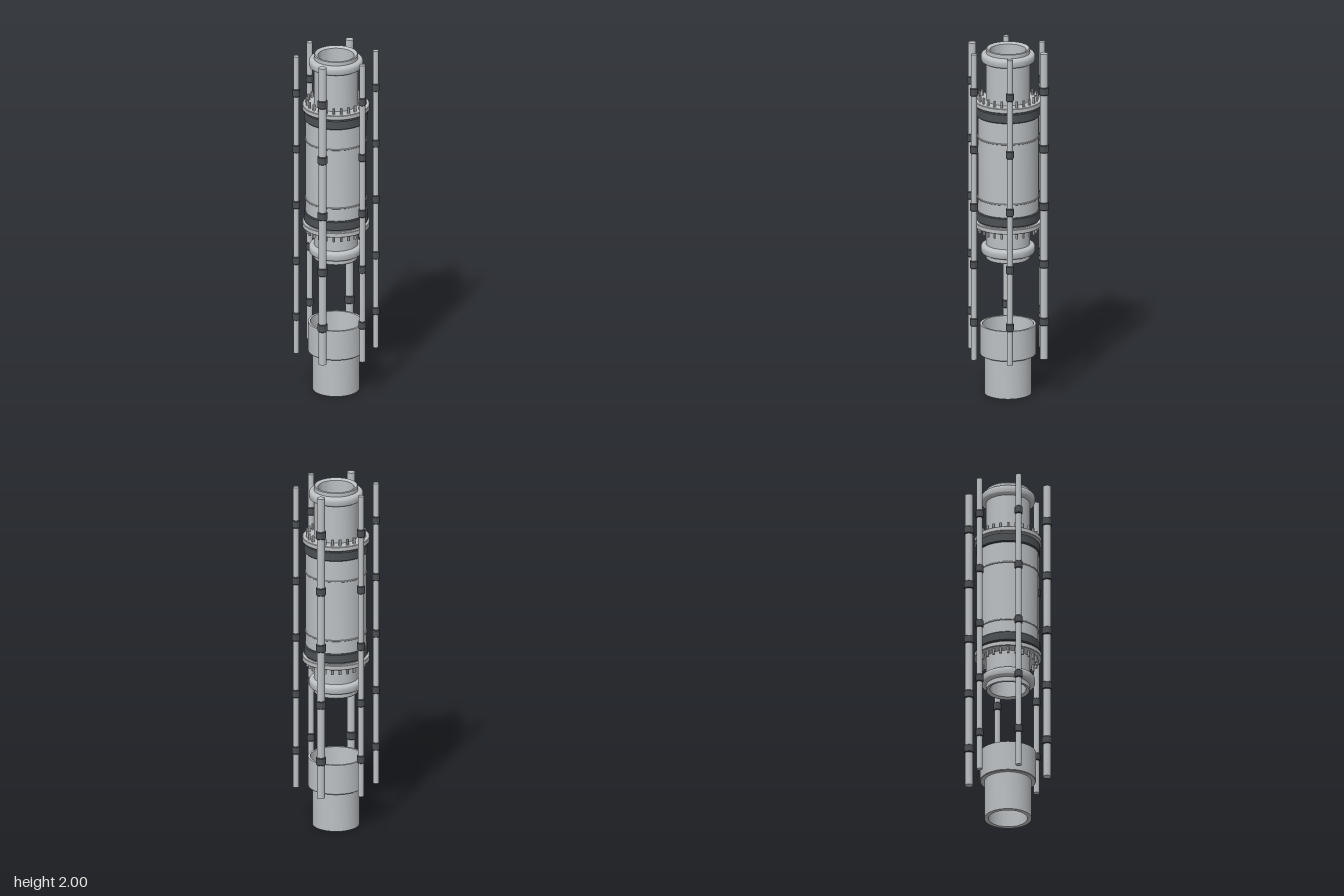
import * as THREE from 'three';
import { toCreasedNormals } from 'three/addons/utils/BufferGeometryUtils.js';

const steel = new THREE.MeshStandardMaterial({ color: 0xbcc0c3 });
steel.name = 'light steel';
const rubber = new THREE.MeshStandardMaterial({ color: 0x4c5054 });
rubber.name = 'dark rubber';

// Revolve a closed profile of [radius, y] points: up the outside, down the inside
function turned(name, profile, material = steel, segments = 64) {
  const pts = [...profile, profile[0]].map(([r, y]) => new THREE.Vector2(r, y));
  const geo = toCreasedNormals(new THREE.LatheGeometry(pts, segments), 0.6);
  const mesh = new THREE.Mesh(geo, material);
  mesh.name = name;
  return mesh;
}

// Plain ring with small chamfers on the outer edges
function ring(name, inner, outer, y0, y1, material = steel, c = 0.003, segments = 64) {
  return turned(name, [
    [inner, y0], [outer - c, y0], [outer, y0 + c],
    [outer, y1 - c], [outer - c, y1], [inner, y1],
  ], material, segments);
}

// Coupling ring with rounded outer edges
function roundedRing(name, inner, outer, y0, y1) {
  const c = 0.018, profile = [[inner, y0]];
  for (const [cy, start] of [[y0 + c, -Math.PI / 2], [y1 - c, 0]]) {
    for (let i = 0; i <= 5; i++) {
      const a = start + (i / 5) * Math.PI / 2;
      profile.push([outer - c + c * Math.cos(a), cy + c * Math.sin(a)]);
    }
  }
  profile.push([inner, y1]);
  return turned(name, profile);
}

export function createModel() {
  const model = new THREE.Group();
  model.name = 'pipeAssembly';

  // Lower pipe widening into an open socket
  model.add(turned('lowerSocket', [
    [0.108, 0], [0.131, 0], [0.131, 0.225], [0.152, 0.225], [0.155, 0.229],
    [0.155, 0.4], [0.142, 0.4], [0.134, 0.25], [0.108, 0.225],
  ]));

  // Inner pipe running through the valve body, chamfered at both mouths
  model.add(turned('innerPipe', [
    [0.1, 0.79], [0.118, 0.78], [0.122, 0.785], [0.122, 1.995],
    [0.118, 2], [0.1, 1.99],
  ]));
  model.add(roundedRing('upperCoupling', 0.12, 0.15, 1.921, 1.974));
  model.add(roundedRing('lowerCoupling', 0.12, 0.15, 0.811, 0.865));

  // Valve body, raised beads, dark bands and flanges
  model.add(ring('valveBody', 0.12, 0.168, 0.99, 1.685, steel, 0.002));
  for (const y of [1.14, 1.49]) model.add(ring('bodyBead', 0.16, 0.172, y - 0.004, y + 0.004, steel, 0.002));
  model.add(ring('upperBand', 0.16, 0.178, 1.612, 1.668, rubber, 0.005));
  model.add(ring('lowerBand', 0.16, 0.178, 1.008, 1.064, rubber, 0.005));
  model.add(ring('upperFlange', 0.12, 0.187, 1.674, 1.701));
  model.add(ring('lowerFlange', 0.12, 0.187, 0.972, 1.0));

  // Hexagonal bolts around both flanges
  const boltGeo = new THREE.CylinderGeometry(0.0078, 0.0078, 0.045, 6).toNonIndexed();
  boltGeo.computeVertexNormals();
  for (const [name, y] of [['upperBolts', 1.7125], ['lowerBolts', 0.9605]]) {
    const bolts = new THREE.Group();
    bolts.name = name;
    for (let i = 0; i < 24; i++) {
      const a = (i / 24) * Math.PI * 2;
      const bolt = new THREE.Mesh(boltGeo, steel);
      bolt.name = 'bolt';
      bolt.position.set(0.161 * Math.sin(a), y, 0.161 * Math.cos(a));
      bolts.add(bolt);
    }
    model.add(bolts);
  }

  // Six surrounding lines with collars; two opposite ones are thicker
  for (let i = 0; i < 6; i++) {
    const a = (i / 6) * Math.PI * 2;
    const thick = i === 2 || i === 5;
    const r = thick ? 0.0225 : 0.0165, collarR = thick ? 0.028 : 0.0218;
    const line = new THREE.Group();
    line.name = thick ? 'thickLine' : 'thinLine';
    line.position.set(0.224 * Math.sin(a), 0, 0.224 * Math.cos(a));
    const rod = new THREE.Mesh(new THREE.CylinderGeometry(r, r, 1.772, 24), steel);
    rod.name = 'rod';
    rod.position.y = 1.114;
    line.add(rod);
    for (let k = -2; k <= 2; k++) {
      const y = 1.115 + k * 0.334;
      line.add(ring('collar', r - 0.002, collarR, y - 0.023, y + 0.023, rubber, 0.004, 24));
    }
    model.add(line);
  }
  return model;
}
